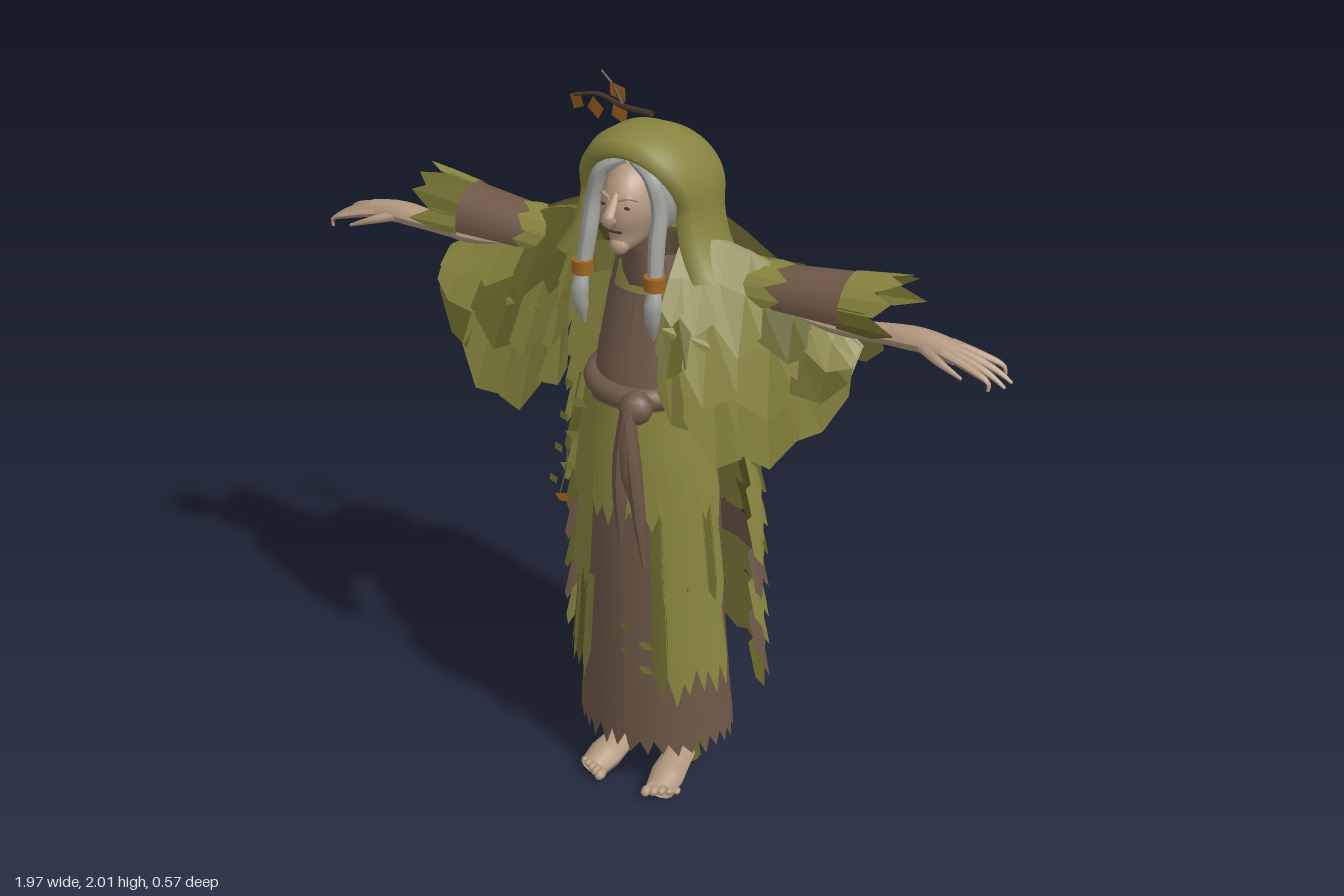
import * as THREE from 'three';

const mat = (name, color) => new THREE.MeshStandardMaterial({ name, color, side: THREE.DoubleSide });
const M = {
  olive: mat('olive leaf cloth', 0x88843f), moss: mat('dark moss', 0x666429),
  brown: mat('brown cloth', 0x6e5848), bark: mat('dark bark', 0x463428),
  skin: mat('skin', 0xb2987f), hair: mat('grey hair', 0x9f9f9c), amber: mat('amber leaf', 0xa0651f),
};
const V = (x, y, z) => new THREE.Vector3(x, y, z);
const curve = (pts) => new THREE.CatmullRomCurve3(pts.map((p) => V(...p)));
const lerp = THREE.MathUtils.lerp;
let seed = 7;
const rnd = () => (seed = (seed * 16807) % 2147483647) / 2147483647;

// interpolate a row of a table whose first column is height
function at(tab, y) {
  let i = 0;
  while (i < tab.length - 2 && y > tab[i + 1][0]) i++;
  const k = (y - tab[i][0]) / (tab[i + 1][0] - tab[i][0]);
  return tab[i].map((v, j) => lerp(v, tab[i + 1][j], k));
}
// height, half width, front z, back z
const ROBE = [[0.13, 0.225, 0.172, -0.19], [0.5, 0.2, 0.178, -0.17], [1.0, 0.18, 0.185, -0.15],
  [1.25, 0.15, 0.18, -0.13], [1.45, 0.13, 0.115, -0.1], [1.62, 0.095, 0.08, -0.08]];
const CLOAK = [[0.3, 0.3, 0.2, -0.27], [0.8, 0.288, 0.19, -0.245], [1.5, 0.258, 0.16, -0.175]];
// point on an oval section, angle from the front in degrees
function oval(tab, y, deg, out = 0) {
  const [, a, f, b] = at(tab, y), t = deg * Math.PI / 180;
  return V((a + out) * Math.sin(t), y, (f + b) / 2 + ((f - b) / 2 + out) * Math.cos(t));
}

function mesh(group, name, geo, m) {
  const o = new THREE.Mesh(geo, m);
  o.name = name;
  group.add(o);
  return o;
}
// smooth sheet from a rule fn(u, v)
function sheet(fn, nu, nv) {
  const pos = [], idx = [];
  for (let j = 0; j <= nv; j++) for (let i = 0; i <= nu; i++) {
    pos.push(...fn(i / nu, j / nv).toArray());
    if (i < nu && j < nv) {
      const a = j * (nu + 1) + i, b = a + nu + 1;
      idx.push(a, b, a + 1, a + 1, b, b + 1);
    }
  }
  const g = new THREE.BufferGeometry();
  g.setAttribute('position', new THREE.Float32BufferAttribute(pos, 3));
  g.setIndex(idx);
  g.computeVertexNormals();
  return g;
}
// tapering tube through points
function limb(pts, radii, sides = 10, flat = 1) {
  const path = curve(pts), seg = pts.length * 4;
  const g = new THREE.TubeGeometry(path, seg, 1, sides), p = g.attributes.position;
  for (let k = 0; k < p.count; k++) {
    const s = Math.floor(k / (sides + 1)) / seg, c = path.getPointAt(s);
    const f = s * (radii.length - 1), i = Math.min(Math.floor(f), radii.length - 2);
    const r = lerp(radii[i], radii[i + 1], f - i), v = V().fromBufferAttribute(p, k).sub(c).multiplyScalar(r);
    v.y *= flat;
    p.setXYZ(k, ...v.add(c).toArray());
  }
  g.computeVertexNormals();
  return g;
}
// rows of pointed leaves, merged by colour; row: fn(u, v), count, jag, pick()
function leafRows(group, name, rows) {
  const sets = {};
  for (const { fn, n, jag, pick } of rows) for (let i = 0; i < n; i++) {
    const l = Math.max(0, (i - 0.06) / n), r = Math.min(1, (i + 1.06) / n), m = (i + 0.35 + 0.3 * rnd()) / n;
    const j = 1 - jag * (0.7 + 0.5 * rnd()), tip = 1 - jag * 0.35 * rnd(), k = 1 - jag * (0.7 + 0.5 * rnd());
    const q = [fn(l, 0), fn(l, j), fn(m, tip), fn(r, k), fn(r, 0), fn(m, 0), fn(m, j * 0.5), fn(l, j * 0.5), fn(r, k * 0.5)];
    const out = (sets[pick()] ??= []);
    for (const t of [[0, 7, 6], [0, 6, 5], [5, 6, 8], [5, 8, 4], [7, 1, 2], [7, 2, 6], [6, 2, 3], [6, 3, 8]])
      for (const c of t) out.push(...q[c].toArray());
  }
  for (const key in sets) {
    const g = new THREE.BufferGeometry();
    g.setAttribute('position', new THREE.Float32BufferAttribute(sets[key], 3));
    g.computeVertexNormals();
    mesh(group, `${name} ${M[key].name}`, g, M[key]);
  }
}
const green = () => (rnd() < 0.15 ? 'moss' : 'olive');
// single diamond leaf
function leaf(group, name, p, len, turn, m) {
  const s = new THREE.Shape([[0, 0], [0.35, -0.5], [0, -1], [-0.35, -0.5]].map((a) => new THREE.Vector2(a[0] * len, a[1] * len)));
  const o = mesh(group, name, new THREE.ShapeGeometry(s), m);
  o.position.set(...p);
  o.rotation.set(0.25, turn * 0.4, turn);
}

function buildClothes(g) {
  mesh(g, 'robe', sheet((u, v) => oval(ROBE, lerp(0.2, 1.62, v), u * 360), 40, 10), M.brown);
  leafRows(g, 'robe hem', [{ fn: (u, v) => oval(ROBE, lerp(0.22, 0.12, v), u * 360, 0.002), n: 32, jag: 0.6, pick: () => 'brown' }]);
  mesh(g, 'collar patch', sheet((u, v) => oval(ROBE, lerp(1.52, 1.59, v), lerp(-36, 36, u), 0.006), 6, 1), M.olive);

  // skirt panels in three tiers, open in the middle below the first
  const skirt = [{ fn: (u, v) => oval(ROBE, lerp(1.23, 0.87, v), lerp(-86, 86, u), 0.018 + v * 0.015), n: 16, jag: 0.24, pick: green }];
  for (const s of [1, -1]) [[0.95, 0.6], [0.68, 0.32]].forEach(([t, b], k) => skirt.push({
    fn: (u, v) => oval(ROBE, lerp(t, b, v), s * lerp(25, 86, u), 0.016 + v * 0.02), n: 7 - k, jag: 0.3, pick: green }));
  leafRows(g, 'skirt panel', skirt);

  // shingled back cloak with a brown band
  const rows = [];
  for (let k = 0; k < 11; k++) {
    const top = 0.47 + k * 0.098, base = [0.45, 0.25, 0, 0.95][k] ?? 0;
    rows.push({ fn: (u, v) => oval(CLOAK, top - 0.17 * v, lerp(86, 274, u), v * 0.034 - 0.014),
      n: 12, jag: 0.34, pick: () => (rnd() < base ? 'brown' : green()) });
  }
  leafRows(g, 'back cloak', rows);

  // belt, knot and hanging ends
  const ring = [...Array(16)].map((_, i) => oval(ROBE, 1.255, i * 22.5, -0.004).toArray());
  const path = curve(ring);
  path.closed = true;
  mesh(g, 'belt', new THREE.TubeGeometry(path, 40, 0.03, 8, true), M.brown);
  mesh(g, 'beltKnot', new THREE.SphereGeometry(0.045, 10, 8), M.brown).position.set(0.07, 1.265, 0.225);
  for (const [x, y] of [[0.03, 0.86], [0.065, 0.98], [0.1, 0.8]])
    mesh(g, 'beltEnd', limb([[0.065, 1.28, 0.262], [lerp(0.065, x, 0.6), 1.1, 0.264], [x, y, 0.238]], [0.018, 0.021, 0.018, 0.005], 6), M.brown);
}

function buildCape(g) {
  const front = [curve([[0.13, 1.68, 0.1], [0.2, 1.69, 0.04], [0.37, 1.62, 0], [0.6, 1.49, 0.03]]),
    curve([[0.13, 1.28, 0.215], [0.22, 1.2, 0.23], [0.36, 1.12, 0.205], [0.5, 1.22, 0.165], [0.6, 1.37, 0.1]])];
  const back = [curve([[0, 1.7, -0.13], [0.2, 1.69, -0.04], [0.37, 1.62, 0], [0.6, 1.5, -0.02]]),
    curve([[0, 1.29, -0.265], [0.2, 1.25, -0.25], [0.42, 1.26, -0.19], [0.6, 1.4, -0.09]])];
  for (const s of [1, -1]) {
    const layer = ([t, b], dir, end, off, n, jag) => ({
      fn: (u, v) => {
        const p = t.getPoint(u).lerp(b.getPoint(u), v * end);
        p.z += dir * (off + (0.065 - 0.03 * u) * Math.sin(Math.PI * Math.min(1, v * end)));
        return V(s * p.x, p.y, p.z);
      }, n, jag, pick: green });
    leafRows(g, 'front cape', [layer(front, 1, 1, 0, 4, 0.12), layer(front, 1, 0.72, 0.008, 4, 0.18), layer(front, 1, 0.42, 0.016, 5, 0.26)]);
    leafRows(g, 'back cape', [layer(back, -1, 1, 0, 5, 0.16), layer(back, -1, 0.74, 0.01, 5, 0.2), layer(back, -1, 0.48, 0.02, 5, 0.28)]);

    // arched sleeve with a leafy cuff
    const arch = (x, r, deg) => {
      const a = deg * Math.PI / 180;
      return V(s * x, 1.565 + (x - 0.35) * 0.05 + (r - 0.005) * Math.cos(a), r * Math.sin(a));
    };
    mesh(g, 'sleeve', sheet((u, v) => arch(lerp(0.3, 0.58, v), lerp(0.07, 0.09, v), lerp(-105, 105, u)), 14, 3), M.brown);
    leafRows(g, 'cuff', [{ fn: (u, v) => arch(lerp(0.55, 0.715, v), 0.092 + 0.016 * v, lerp(-108, 108, u)), n: 6, jag: 0.5, pick: green },
      { fn: (u, v) => arch(lerp(0.26, 0.4, v), 0.082, lerp(-100, 100, u)), n: 5, jag: 0.4, pick: green }]);
  }
}

function buildHood(g) {
  // arches from the front lip to the back: top z, top y, half width, side z
  const S = [[0.165, 1.905, 0.115, 0.1], [0.188, 1.928, 0.135, 0.125], [0.16, 1.95, 0.158, 0.1], [0.09, 1.962, 0.175, 0.05], [0, 1.952, 0.177, 0],
    [-0.08, 1.915, 0.165, -0.06], [-0.14, 1.86, 0.13, -0.115], [-0.168, 1.81, 0.07, -0.15], [-0.172, 1.78, 0, -0.17]];
  mesh(g, 'hood', sheet((u, v) => {
    const [zt, yt, w, zm] = S[Math.round(v * (S.length - 1))], s = u * 2 - 1, e = Math.abs(s);
    const a = Math.min(1, e / 0.6) * Math.PI / 2, q = Math.max(0, (e - 0.6) / 0.4);
    const x = w * Math.sin(a) + q * q * 0.07 * Math.min(1, w / 0.16) ** 2;
    return V(Math.sign(s) * x, 1.78 + (yt - 1.78) * Math.cos(a) - q * 0.18, lerp(zm, zt, Math.cos(a)) + q * 0.03 * (v < 0.5 ? 0.5 : 1));
  }, 40, S.length - 1), M.olive);

  // twig with amber leaves
  mesh(g, 'twig', limb([[-0.06, 1.92, -0.09], [-0.15, 1.92, -0.1], [-0.23, 1.935, -0.11], [-0.3, 1.92, -0.105]], [0.009, 0.007, 0.004], 5), M.bark);
  mesh(g, 'twigBranch', limb([[-0.15, 1.92, -0.1], [-0.19, 1.96, -0.12], [-0.225, 1.995, -0.12]], [0.006, 0.003], 5), M.bark);
  for (const [x, y, t] of [[-0.285, 1.93, -0.45], [-0.245, 1.925, 0.05], [-0.185, 1.92, 0.35], [-0.195, 1.975, 0.5]])
    leaf(g, 'twigLeaf', [x, y, -0.11], 0.07, t, M.amber);
}

function buildHead(g) {
  // narrow face with a tapered jaw
  const geo = new THREE.SphereGeometry(1, 24, 18), p = geo.attributes.position;
  for (let i = 0; i < p.count; i++) {
    const y = p.getY(i), j = y < 0 ? 1 + y * 0.28 : 1;
    p.setXYZ(i, p.getX(i) * 0.078 * j, 1.775 + y * 0.115, 0.1 + p.getZ(i) * 0.112 + (y < -0.5 ? (-y - 0.5) * 0.09 : 0));
  }
  geo.computeVertexNormals();
  mesh(g, 'face', geo, M.skin);
  mesh(g, 'nose', limb([[0, 1.825, 0.196], [0, 1.79, 0.222], [0, 1.77, 0.238], [0, 1.756, 0.205]], [0.008, 0.013, 0.016, 0.008], 8), M.skin);
  mesh(g, 'chin', new THREE.SphereGeometry(0.026, 10, 8), M.skin).position.set(0, 1.685, 0.18);
  mesh(g, 'neck', limb([[0, 1.56, 0.05], [0, 1.64, 0.09], [0, 1.71, 0.13]], [0.06, 0.045, 0.04]), M.brown);
  mesh(g, 'mouth', new THREE.BoxGeometry(0.035, 0.004, 0.009), M.bark).position.set(0, 1.728, 0.203);
  const cap = mesh(g, 'hairCap', new THREE.SphereGeometry(1, 20, 12), M.hair);
  cap.scale.set(0.098, 0.125, 0.125);
  cap.position.set(0, 1.785, 0.055);
  for (const s of [1, -1]) {
    const eye = mesh(g, 'eye', new THREE.SphereGeometry(1, 8, 6), M.bark);
    eye.scale.set(0.01, 0.004, 0.004);
    eye.position.set(s * 0.032, 1.795, 0.2);
    mesh(g, 'brow', limb([[s * 0.012, 1.815, 0.207], [s * 0.035, 1.822, 0.197], [s * 0.055, 1.81, 0.178]], [0.005, 0.006, 0.003], 6), M.skin);
    // hair lock, tie and braid
    mesh(g, 'hairLock', limb([[s * 0.01, 1.892, 0.13], [s * 0.068, 1.86, 0.145], [s * 0.092, 1.78, 0.145], [s * 0.096, 1.7, 0.165], [s * 0.102, 1.61, 0.185]],
      [0.012, 0.02, 0.021, 0.022, 0.02]), M.hair);
    const tie = mesh(g, 'braidTie', new THREE.CylinderGeometry(0.028, 0.028, 0.036, 12), M.amber);
    tie.position.set(s * 0.103, 1.607, 0.187);
    mesh(g, 'braid', limb([[s * 0.103, 1.6, 0.187], [s * 0.105, 1.54, 0.2], [s * 0.1, 1.45, 0.19]], [0.016, 0.024, 0.02, 0.004], 8), M.hair);
  }
}

function buildLimbs(g) {
  for (const s of [1, -1]) {
    mesh(g, 'arm', limb([[s * 0.35, 1.55, 0.02], [s * 0.55, 1.53, 0.03], [s * 0.7, 1.545, 0.038], [s * 0.77, 1.548, 0.04], [s * 0.85, 1.535, 0.04]],
      [0.04, 0.035, 0.028, 0.036, 0.034], 12, 0.8), M.skin);
    for (let i = 0; i < 4; i++) {
      const z = 0.012 + i * 0.019, w = (i - 1.5) * 0.014, end = [0.955, 0.985, 0.98, 0.95][i];
      mesh(g, 'finger', limb([[s * 0.82, 1.545, z], [s * 0.89, 1.528, z + w * 0.5], [s * 0.95, 1.505, z + w], [s * end, 1.485, z + w]], [0.013, 0.011, 0.009, 0.004], 6), M.skin);
    }
    mesh(g, 'thumb', limb([[s * 0.76, 1.545, 0.06], [s * 0.82, 1.53, 0.09], [s * 0.885, 1.505, 0.1]], [0.015, 0.011, 0.004], 6), M.skin);

    // leg, foot, toes and ankle wrap
    mesh(g, 'leg', limb([[s * 0.085, 0.45, -0.01], [s * 0.085, 0.2, 0.005], [s * 0.088, 0.05, -0.01]], [0.045, 0.032, 0.036]), M.skin);
    mesh(g, 'foot', limb([[s * 0.085, 0.045, -0.06], [s * 0.088, 0.048, 0], [s * 0.097, 0.038, 0.08], [s * 0.108, 0.022, 0.17]], [0.022, 0.042, 0.045, 0.05, 0.042], 12, 0.8), M.skin);
    for (let i = 0; i < 5; i++) {
      const toe = mesh(g, 'toe', new THREE.SphereGeometry(0.015 - i * 0.0015, 8, 6), M.skin);
      toe.position.set(s * (0.075 + i * 0.019), 0.018, 0.185 - i * 0.01);
      toe.scale.z = 1.5;
    }
    const wrap = mesh(g, 'ankleWrap', new THREE.CylinderGeometry(0.04, 0.048, 0.06, 10, 1, true), M.moss);
    wrap.position.set(s * 0.088, 0.055, -0.012);
  }
}

export function createModel() {
  const model = new THREE.Group();
  for (const [name, build] of [['clothes', buildClothes], ['cape', buildCape], ['hood', buildHood], ['head', buildHead], ['limbs', buildLimbs]]) {
    const part = new THREE.Group();
    part.name = name;
    build(part);
    model.add(part);
  }
  // trailing vine with small leaves
  const vine = new THREE.Group();
  vine.name = 'vine';
  mesh(vine, 'vineStem', limb([[-0.125, 1.29, 0.17], [-0.14, 1.15, 0.2], [-0.16, 1.0, 0.2], [-0.19, 0.9, 0.19]], [0.003, 0.002], 5), M.moss);
  for (let i = 0; i < 8; i++) leaf(vine, 'vineLeaf', [-0.125 - i * 0.009, 1.28 - i * 0.05, 0.21], 0.05, i % 2 ? 0.9 : -0.9, i === 7 ? M.amber : M.olive);
  for (let i = 0; i < 4; i++) leaf(vine, 'vineLeaf', [0.03 + (i % 2) * 0.03, 0.57 - i * 0.04, 0.2], 0.05, i % 2 ? 0.8 : -0.8, M.olive);
  model.add(vine);
  return model;
}
